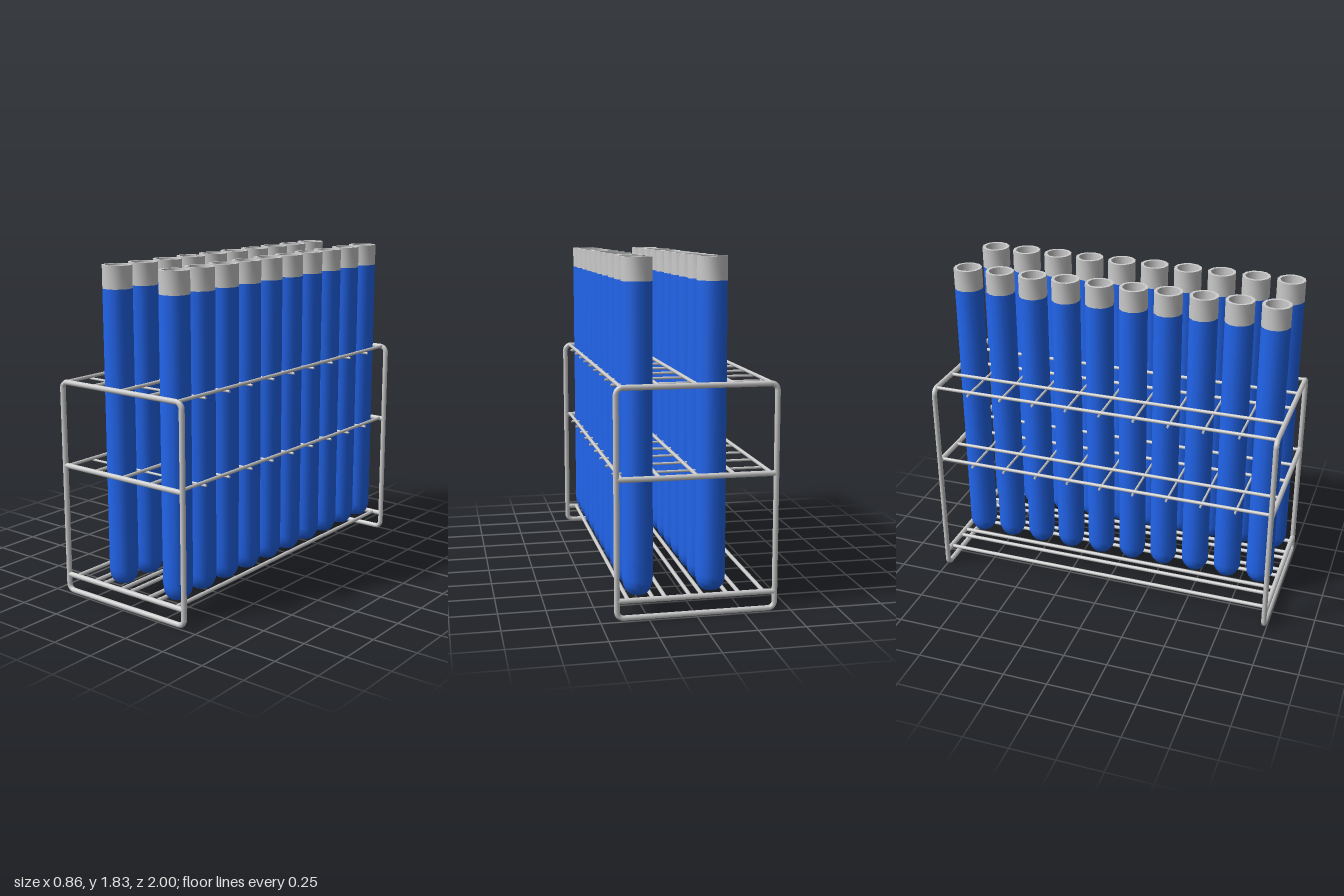
import * as THREE from 'three';
import { toCreasedNormals } from 'three/addons/utils/BufferGeometryUtils.js';

const steel = new THREE.MeshStandardMaterial({ color: 0xcccccc });
const blue = new THREE.MeshStandardMaterial({ color: 0x2266ee });

// Straight rod along one axis, centred on (x, y, z)
function rod(parent, name, axis, length, radius, x, y, z) {
  const geometry = new THREE.CylinderGeometry(radius, radius, length, 8);
  if (axis === 'x') geometry.rotateZ(Math.PI / 2);
  if (axis === 'z') geometry.rotateX(Math.PI / 2);
  const mesh = new THREE.Mesh(geometry, steel);
  mesh.name = name;
  mesh.position.set(x, y, z);
  parent.add(mesh);
}

function lathe(profile) {
  const points = profile.map(([r, y]) => new THREE.Vector2(r, y));
  return new THREE.LatheGeometry(points, 12);
}

// Rounded rectangular wire loop with two crossbars
function createEndFrame(z) {
  const frame = new THREE.Group();
  frame.name = 'endFrame';
  const W = 0.415, bottom = 0.015, top = 1.195, bend = 0.035, r = 0.015;
  const midY = (bottom + top) / 2;
  for (const s of [-1, 1]) {
    rod(frame, 'framePost', 'y', top - bottom - 2 * bend, r, s * W, midY, 0);
  }
  for (const y of [bottom, top]) {
    rod(frame, 'frameRail', 'x', 2 * (W - bend), r, 0, y, 0);
  }
  const corners = [[1, 1], [-1, 1], [-1, -1], [1, -1]];
  corners.forEach(([sx, sy], i) => {
    const corner = new THREE.Mesh(new THREE.TorusGeometry(bend, r, 8, 6, Math.PI / 2), steel);
    corner.name = 'frameCorner';
    corner.rotation.z = i * Math.PI / 2;
    corner.position.set(sx * (W - bend), midY + sy * ((top - bottom) / 2 - bend), 0);
    frame.add(corner);
  });
  for (const y of [0.105, 0.732]) rod(frame, 'frameCrossbar', 'x', 2 * W, r, 0, y, 0);
  frame.position.z = z;
  return frame;
}

export function createModel() {
  const model = new THREE.Group();
  model.name = 'testTubeRack';
  const endZ = 0.985, pitchX = 0.194, pitchZ = 0.196;

  for (const s of [-1, 1]) model.add(createEndFrame(s * endZ));

  // Two wire grids that hold the tubes upright
  for (const y of [0.735, 1.197]) {
    const grid = new THREE.Group();
    grid.name = 'wireGrid';
    for (let i = -2; i <= 2; i++) {
      rod(grid, 'gridLongRod', 'z', 2 * endZ, 0.01, i * pitchX, y, 0);
    }
    for (let i = -4; i <= 4; i++) {
      rod(grid, 'gridCrossRod', 'x', 0.81, 0.007, 0, y - 0.016, i * pitchZ);
    }
    model.add(grid);
  }

  // Floor: a pair of rods under each column of tubes
  const floor = new THREE.Group();
  floor.name = 'floorRods';
  for (let i = 0; i < 4; i++) {
    for (const s of [-1, 1]) {
      rod(floor, 'floorRod', 'z', 2 * endZ, 0.011, (i - 1.5) * pitchX + s * 0.065, 0.105, 0);
    }
  }
  model.add(floor);

  // Tubes: filled blue body with rounded base, hollow grey mouth
  const R = 0.08, inner = 0.062;
  const bodyGeometry = lathe([[0, 0.112], [0.05, 0.114], [0.066, 0.135], [0.076, 0.16], [R, 0.19], [R, 0.3], [R, 1.71]]);
  const mouthGeometry = toCreasedNormals(
    lathe([[R, 1.71], [R, 1.83], [inner, 1.83], [inner, 0.2], [0.045, 0.15], [0, 0.14]]), 0.7);
  for (const x of [-0.095, 0.289]) {
    for (let i = 0; i < 10; i++) {
      const tube = new THREE.Group();
      tube.name = 'testTube';
      const body = new THREE.Mesh(bodyGeometry, blue);
      body.name = 'tubeBody';
      const mouth = new THREE.Mesh(mouthGeometry, steel);
      mouth.name = 'tubeMouth';
      tube.add(body, mouth);
      tube.position.set(x, 0, (i - 4.5) * pitchZ);
      model.add(tube);
    }
  }
  return model;
}
